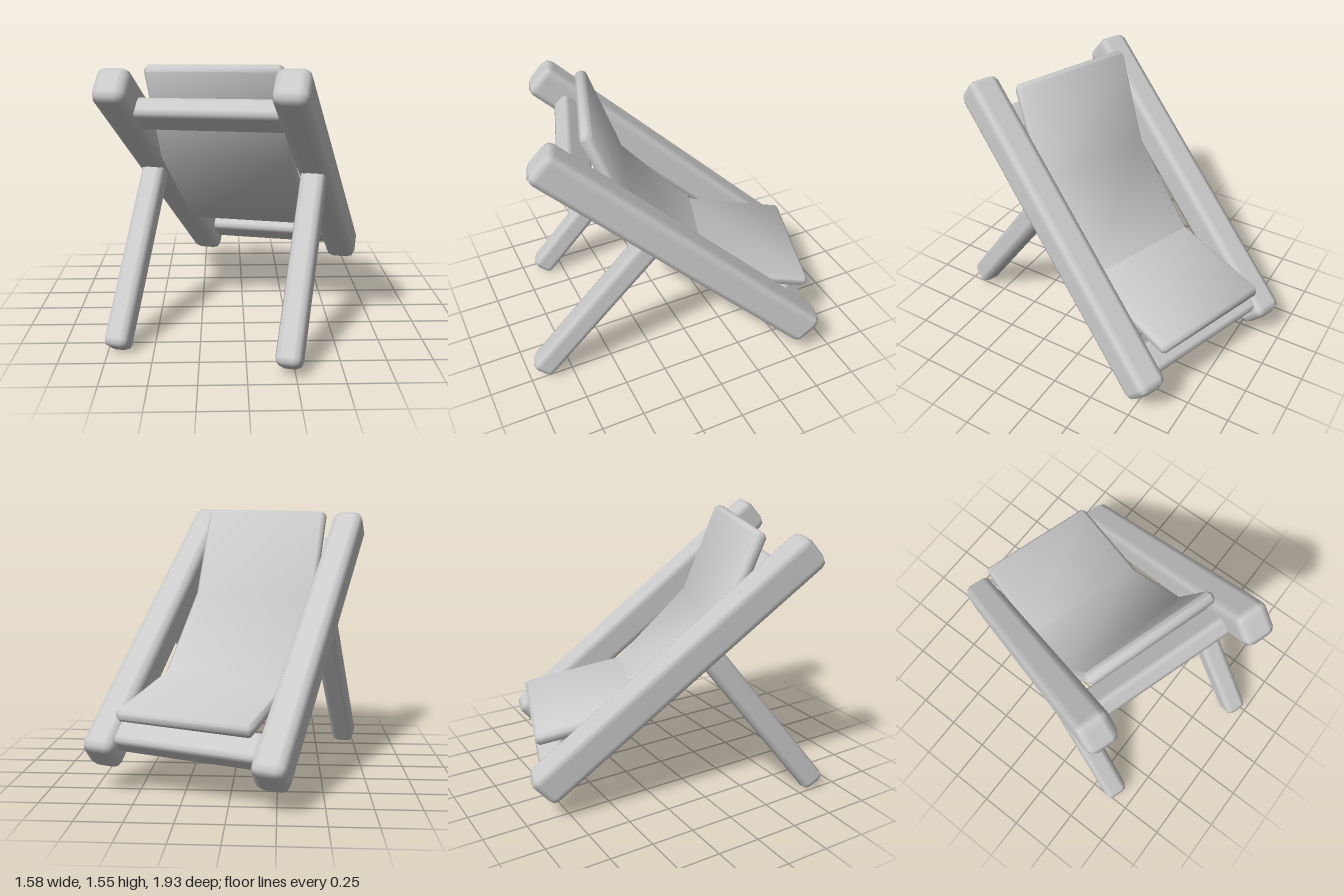
import * as THREE from 'three';
import { toCreasedNormals } from 'three/addons/utils/BufferGeometryUtils.js';
import { RoundedBoxGeometry } from 'three/addons/geometries/RoundedBoxGeometry.js';

const RAD = Math.PI / 180;
const PITCH = 40.7 * RAD;
const material = new THREE.MeshStandardMaterial({ color: 0xcccccc });

// Chamfered beam, its length along z, tilted about x
function beam(name, size, chamfer, position, tilt) {
  const mesh = new THREE.Mesh(new RoundedBoxGeometry(...size, 1, chamfer), material);
  mesh.name = name;
  mesh.position.set(...position);
  mesh.rotation.x = tilt;
  return mesh;
}

// Closed outline of a strip of given thickness around a polyline, ends chamfered
function stripShape(points, thickness) {
  const h = thickness / 2, c = 0.02;
  const pts = points.map(p => new THREE.Vector2(...p));
  const dirs = pts.slice(1).map((p, i) => p.clone().sub(pts[i]).normalize());
  const normal = d => new THREE.Vector2(-d.y, d.x);
  const last = pts.length - 1;
  const side = s => pts.flatMap((p, i) => {
    const a = dirs[Math.max(i - 1, 0)], b = dirs[Math.min(i, last - 1)];
    if (i === 0 || i === last) {
      const inward = a.clone().multiplyScalar(i === 0 ? 1 : -1);
      const tip = p.clone().addScaledVector(normal(a), s * (h - c));
      const edge = p.clone().addScaledVector(normal(a), s * h).addScaledVector(inward, c);
      return i === 0 ? [tip, edge] : [edge, tip];
    }
    const m = normal(a).add(normal(b)).normalize();
    return [p.clone().addScaledVector(m, s * h / m.dot(normal(a)))];
  });
  return new THREE.Shape([...side(1), ...side(-1).reverse()]);
}

// Sling seat: bent sheet swept across the width
function sling() {
  const width = 0.77, bevel = 0.018;
  const shape = stripShape([[0.5, 0.7], [0.3, 0.165], [-0.14, -0.285], [-0.755, -0.4]], 0.07);
  const geo = new THREE.ExtrudeGeometry(shape, {
    depth: width - 2 * bevel, bevelThickness: bevel, bevelSize: bevel,
    bevelOffset: -bevel, bevelSegments: 1,
  });
  geo.translate(0, 0, -width / 2 + bevel);
  geo.rotateY(-Math.PI / 2);
  const mesh = new THREE.Mesh(toCreasedNormals(geo, 50 * RAD), material);
  mesh.name = 'slingSeat';
  return mesh;
}

export function createModel() {
  const chair = new THREE.Group();
  chair.name = 'deckChair';

  // Sloping side rails and the props behind them
  for (const [side, s] of [['left', 1], ['right', -1]]) {
    chair.add(beam(side + 'Rail', [0.19, 0.21, 1.98], 0.05, [s * 0.48, 0, 0], -PITCH));
    chair.add(beam(side + 'Leg', [0.14, 0.14, 1.1], 0.04, [s * 0.478, -0.355, 0.518], 52.6 * RAD));
  }

  // Cross bars between the rails, long side of the section along the slope
  chair.add(beam('upperCrossBar', [0.84, 0.12, 0.18], 0.035, [0, 0.45, 0.565], -PITCH));
  chair.add(beam('lowerCrossBar', [0.84, 0.12, 0.18], 0.035, [0, -0.52, -0.65], -PITCH));

  chair.add(sling());

  // The chair stands turned, with a slight sideways lean
  chair.rotation.set(0, -18 * RAD, 1.5 * RAD, 'YXZ');
  chair.position.set(0, 0.84, -0.04);

  const model = new THREE.Group();
  model.add(chair);
  return model;
}
